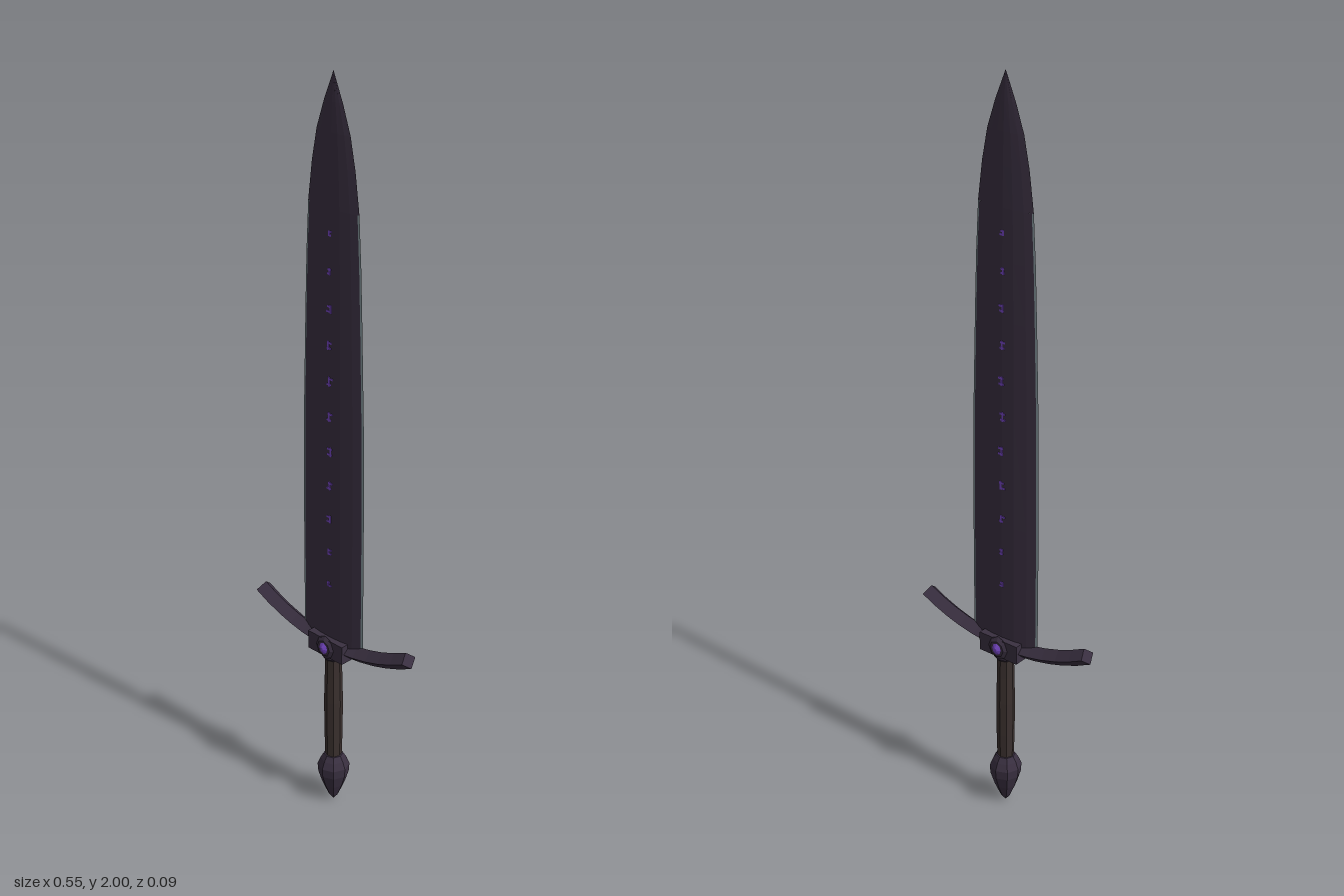
import * as THREE from 'three';

export function createModel() {
  const sword = new THREE.Group();
  sword.name = 'sword';

  const mat = (name, color, opts = {}) => {
    const m = new THREE.MeshStandardMaterial({ color, ...opts });
    m.name = name;
    return m;
  };
  const dark = mat('darkMetal', 0x3a3041, { flatShading: true });
  const steel = mat('edgeSteel', 0x76858a, { flatShading: true });
  const leather = mat('gripLeather', 0x3a302e, { flatShading: true });
  const purple = mat('purpleGlow', 0x7848c8, { flatShading: true });

  const add = (name, geometry, material, parent = sword) => {
    const m = new THREE.Mesh(geometry, material);
    m.name = name;
    parent.add(m);
    return m;
  };

  // Blade stations: height, half width, half thickness
  const stations = [
    [0.5, 0.105, 0.016], [0.85, 0.105, 0.016], [1.15, 0.102, 0.015],
    [1.4, 0.095, 0.014], [1.55, 0.09, 0.013], [1.68, 0.083, 0.012], [1.78, 0.07, 0.01],
    [1.86, 0.054, 0.008], [1.93, 0.03, 0.005], [2, 0.0005, 0.0005],
  ];
  const lens = f => 1 - f * f;

  // Skin of one blade face between the given fractions of its width
  const bladeSkin = (rows, fractions, side) => {
    const pos = [], idx = [], n = fractions.length;
    rows.forEach(([y, w, t], r) => {
      fractions.forEach((f, c) => {
        pos.push(f * w, y, side * lens(f) * t);
        if (r === 0 || c === 0) return;
        const d = r * n + c, a = d - n - 1, b = d - n, e = d - 1;
        if (side > 0) idx.push(a, b, d, a, d, e);
        else idx.push(a, d, b, a, e, d);
      });
    });
    const g = new THREE.BufferGeometry();
    g.setAttribute('position', new THREE.Float32BufferAttribute(pos, 3));
    g.setIndex(idx);
    g.computeVertexNormals();
    return g;
  };

  const blade = new THREE.Group();
  blade.name = 'blade';
  sword.add(blade);
  const lower = stations.slice(0, 6), tip = stations.slice(5);
  for (const side of [1, -1]) {
    add('bladeFace', bladeSkin(lower, [-0.94, -0.7, -0.35, 0, 0.35, 0.7, 0.94], side), dark, blade);
    add('bladeTip', bladeSkin(tip, [-1, -0.7, -0.35, 0, 0.35, 0.7, 1], side), dark, blade);
    add('cuttingEdge', bladeSkin(lower, [-1, -0.94], side), steel, blade);
    add('cuttingEdge', bladeSkin(lower, [0.94, 1], side), steel, blade);
  }

  // Small engraved marks along the middle of both faces
  let seed = 7;
  const rand = () => (seed = (seed * 16807) % 2147483647) / 2147483647;
  const thicknessAt = y => {
    const i = stations.findIndex(s => s[0] >= y);
    const [y0, , t0] = stations[i - 1], [y1, , t1] = stations[i];
    return t0 + (t1 - t0) * (y - y0) / (y1 - y0);
  };
  const runes = new THREE.Group();
  runes.name = 'runes';
  sword.add(runes);
  for (let i = 0; i < 11; i++) {
    const y = 0.68 + i * 0.094;
    const size = 0.014 + 0.012 * Math.sin(Math.PI * i / 10);
    for (const side of [1, -1]) {
      const z = side * thicknessAt(y);
      const stem = add('runeStem', new THREE.BoxGeometry(0.005, size, 0.002), purple, runes);
      stem.position.set((rand() - 0.5) * 0.01, y, z);
      for (const k of [-0.3, 0.3]) {
        const bar = add('runeBar', new THREE.BoxGeometry(size * 0.6, 0.005, 0.002), purple, runes);
        bar.position.set((rand() - 0.5) * 0.008, y + k * size, z);
      }
    }
  }

  // Curved crossguard with a diamond section and flat ends
  const R = 0.558, half = 0.49, r = 0.022, zScale = 0.025 / r, cy = 0.493 + R;
  const guard = new THREE.Group();
  guard.name = 'crossguard';
  sword.add(guard);
  const bar = new THREE.TorusGeometry(R, r, 4, 12, 2 * half);
  bar.rotateZ(-Math.PI / 2 - half).scale(1, 1, zScale).translate(0, cy, 0);
  add('guardBar', bar, dark, guard);
  for (const s of [1, -1]) {
    const cap = new THREE.CircleGeometry(r, 4);
    cap.scale(zScale, 1, 1).rotateY(s * Math.PI / 2).rotateZ(s * half);
    cap.translate(s * R * Math.sin(half), cy - R * Math.cos(half), 0);
    add('guardEnd', cap, dark, guard);
  }
  add('guardBlock', new THREE.BoxGeometry(0.122, 0.052, 0.064), dark, guard).position.y = 0.496;

  // Gem in a low setting on each face of the guard
  for (const s of [1, -1]) {
    const setting = new THREE.CylinderGeometry(0.022, 0.034, 0.008, 8);
    setting.rotateX(s * Math.PI / 2).translate(0, 0.496, s * 0.034);
    add('gemSetting', setting, dark, guard);
    const gem = new THREE.CylinderGeometry(0.004, 0.021, 0.01, 8);
    gem.rotateX(s * Math.PI / 2).scale(1, 1.15, 1).translate(0, 0.496, s * 0.039);
    add('gem', gem, purple, guard);
  }

  // Turned parts of the handle
  const lathe = (name, points, sides, material) =>
    add(name, new THREE.LatheGeometry(points.map(p => new THREE.Vector2(...p)), sides), material);
  lathe('grip', [[0.022, 0.14], [0.024, 0.22], [0.025, 0.32], [0.023, 0.4], [0.022, 0.47]], 8, leather);
  lathe('collar', [[0.023, 0.452], [0.031, 0.46], [0.031, 0.475], [0.02, 0.48]], 8, dark);
  lathe('pommel', [[0, 0], [0.014, 0.018], [0.03, 0.055], [0.041, 0.09], [0.043, 0.115],
    [0.035, 0.135], [0.026, 0.15], [0, 0.152]], 8, dark);

  return sword;
}
